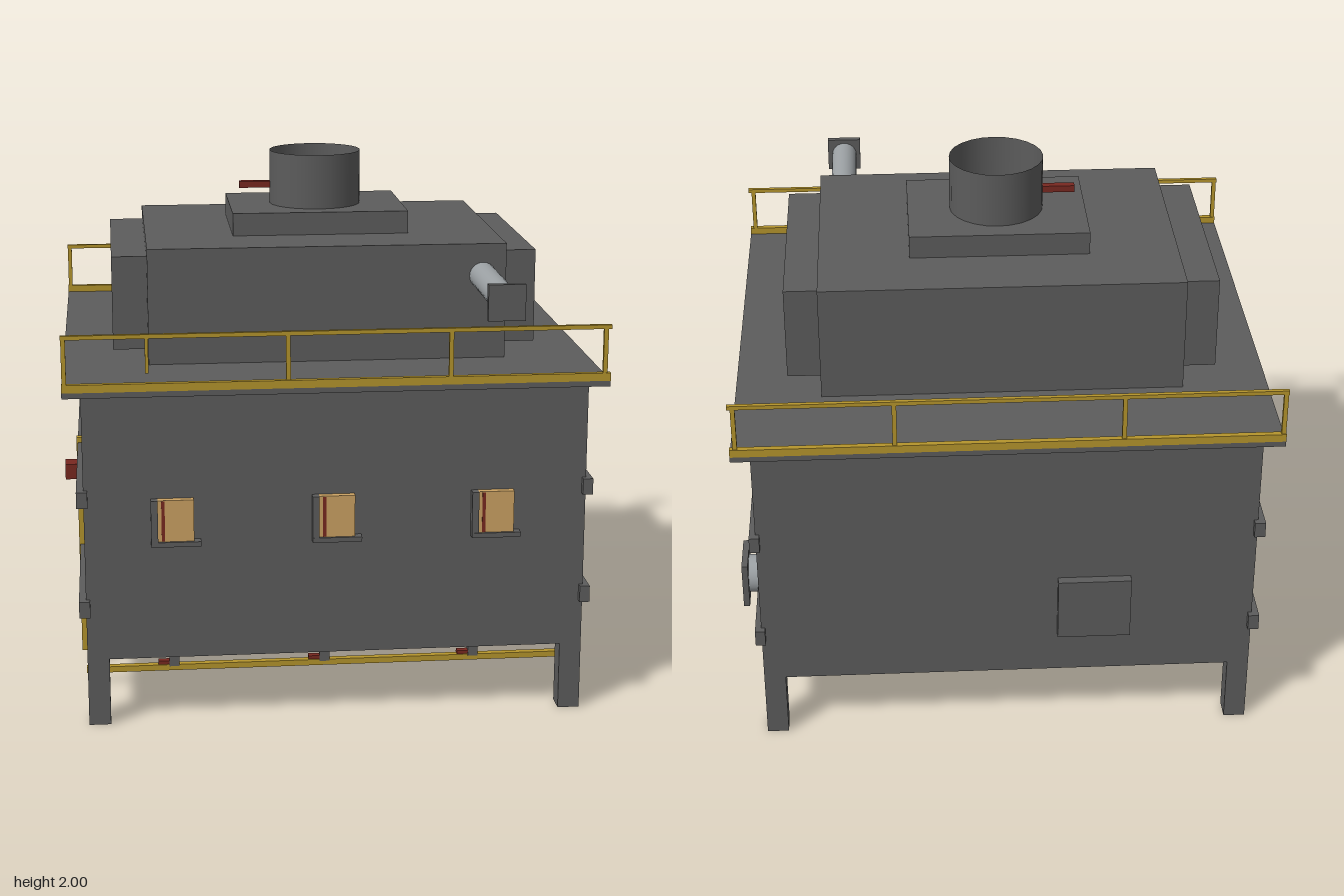
import * as THREE from 'three';

export function createModel() {
  const model = new THREE.Group();
  model.name = 'industrialFurnace';

  const mat = (name, color, extra = {}) => {
    const m = new THREE.MeshStandardMaterial({ color, ...extra });
    m.name = name;
    return m;
  };
  const steel = mat('darkSteel', 0x5c5c5c, { side: THREE.DoubleSide });
  const yellow = mat('safetyYellow', 0xb4942c);
  const red = mat('darkRed', 0x782820);
  const tan = mat('fireTan', 0xcba263);
  const pipeGrey = mat('pipeGrey', 0x9ca1a4);

  // Box given by its lower and upper limits on each axis
  const box = (name, material, x0, x1, y0, y1, z0, z1) => {
    const mesh = new THREE.Mesh(new THREE.BoxGeometry(x1 - x0, y1 - y0, z1 - z0), material);
    mesh.position.set((x0 + x1) / 2, (y0 + y1) / 2, (z0 + z1) / 2);
    mesh.name = name;
    model.add(mesh);
    return mesh;
  };
  const cylinder = (name, material, r, length, x, y, z, open = false) => {
    const mesh = new THREE.Mesh(new THREE.CylinderGeometry(r, r, length, 24, 1, open), material);
    mesh.position.set(x, y, z);
    mesh.name = name;
    model.add(mesh);
    return mesh;
  };

  // Main chamber, roof deck and legs
  box('chamber', steel, -0.92, 0.91, 0.255, 1.26, -0.88, 0.785);
  box('roofDeck', steel, -0.985, 0.975, 1.255, 1.278, -0.95, 0.845);
  for (const x of [-0.92, 0.83])
    for (const z of [-0.88, 0.705]) box('leg', steel, x, x + 0.08, 0, 0.256, z, z + 0.08);

  // Stiffening belts on both sides
  for (const [y0, y1] of [[0.425, 0.487], [0.84, 0.9]]) {
    box('sideBelt', steel, -0.945, -0.905, y0, y1, -0.905, 0.81);
    box('sideBelt', steel, 0.895, 0.932, y0, y1, -0.905, 0.81);
  }

  // Upper convection section, its end boxes and the stack
  box('upperSection', steel, -0.67, 0.66, 1.278, 1.71, -0.55, 0.45);
  box('endBox', steel, -0.8, -0.67, 1.32, 1.67, -0.465, 0.37);
  box('endBox', steel, 0.66, 0.785, 1.32, 1.67, -0.465, 0.37);
  box('stackBase', steel, -0.34, 0.325, 1.71, 1.795, -0.3, 0.2);
  cylinder('stack', steel, 0.175, 0.205, -0.007, 1.8975, -0.05, true);
  box('damperHandle', red, -0.3, -0.18, 1.855, 1.88, -0.07, -0.04);

  // Front inlet pipe and side outlet pipe with square flanges
  cylinder('frontPipe', pipeGrey, 0.05, 0.475, 0.573, 1.59, 0.6875).rotation.x = Math.PI / 2;
  box('frontFlange', steel, 0.507, 0.64, 1.525, 1.655, 0.922, 0.947);
  cylinder('sidePipe', pipeGrey, 0.072, 0.06, 0.937, 0.505, -0.548).rotation.z = Math.PI / 2;
  box('sideFlange', steel, 0.965, 0.988, 0.415, 0.595, -0.638, -0.458);

  // Access hatch on the back
  box('backHatch', steel, -0.46, -0.19, 0.425, 0.67, -0.915, -0.88);

  // Guard rails along the front and back of the deck
  const rail = (z, posts) => {
    box('toeBoard', yellow, -0.985, 0.975, 1.276, 1.305, z - 0.011, z + 0.011);
    box('topRail', yellow, -0.985, 0.975, 1.466, 1.481, z - 0.008, z + 0.008);
    for (const x of posts) box('railPost', yellow, x - 0.008, x + 0.008, 1.3, 1.47, z - 0.007, z + 0.007);
  };
  rail(0.836, [-0.975, -0.185, 0.397, 0.955]);
  rail(-0.941, [-0.975, -0.41, 0.397, 0.955]);
  box('shortPost', yellow, -0.69, -0.678, 1.34, 1.47, 0.83, 0.842);

  const columns = [-0.59, -0.007, 0.576];
  const plateFaces = [red, red, tan, tan, tan, tan];

  for (const x of columns) {
    // Peephole with tan pane, red edge, side jamb and sill
    box('peepholePane', tan, x - 0.065, x + 0.065, 0.705, 0.863, 0.78, 0.812);
    box('peepholeStripe', red, x - 0.052, x - 0.04, 0.71, 0.86, 0.81, 0.814);
    box('peepholeJamb', steel, x - 0.09, x - 0.065, 0.69, 0.863, 0.78, 0.82);
    box('peepholeSill', steel, x - 0.09, x + 0.09, 0.69, 0.708, 0.78, 0.822);

    // Floor burners: mounting plate, housing, nozzle and valve
    for (const z of [0.37, -0.465]) {
      box('burnerPlate', plateFaces, x - 0.082, x + 0.082, 0.232, 0.256, z - 0.082, z + 0.082);
      box('burnerHousing', steel, x - 0.057, x + 0.057, 0.13, 0.234, z - 0.057, z + 0.057);
      box('burnerNozzle', steel, x - 0.022, x + 0.016, 0.062, 0.132, z - 0.016, z + 0.016);
      box('burnerValve', red, x - 0.065, x - 0.02, 0.07, 0.084, z - 0.014, z + 0.014);
    }
  }

  // Fuel lines under the floor and the riser on the side
  for (const z of [0.37, -0.465]) box('fuelLine', yellow, -0.93, 0.91, 0.045, 0.068, z - 0.014, z + 0.014);
  box('fuelRiser', yellow, -0.95, -0.921, 0.045, 0.92, 0.106, 0.134);
  box('riserFoot', yellow, -0.95, -0.83, 0.045, 0.07, 0.106, 0.134);
  box('shutoffValve', red, -0.995, -0.948, 0.757, 0.817, 0.075, 0.15);

  return model;
}
